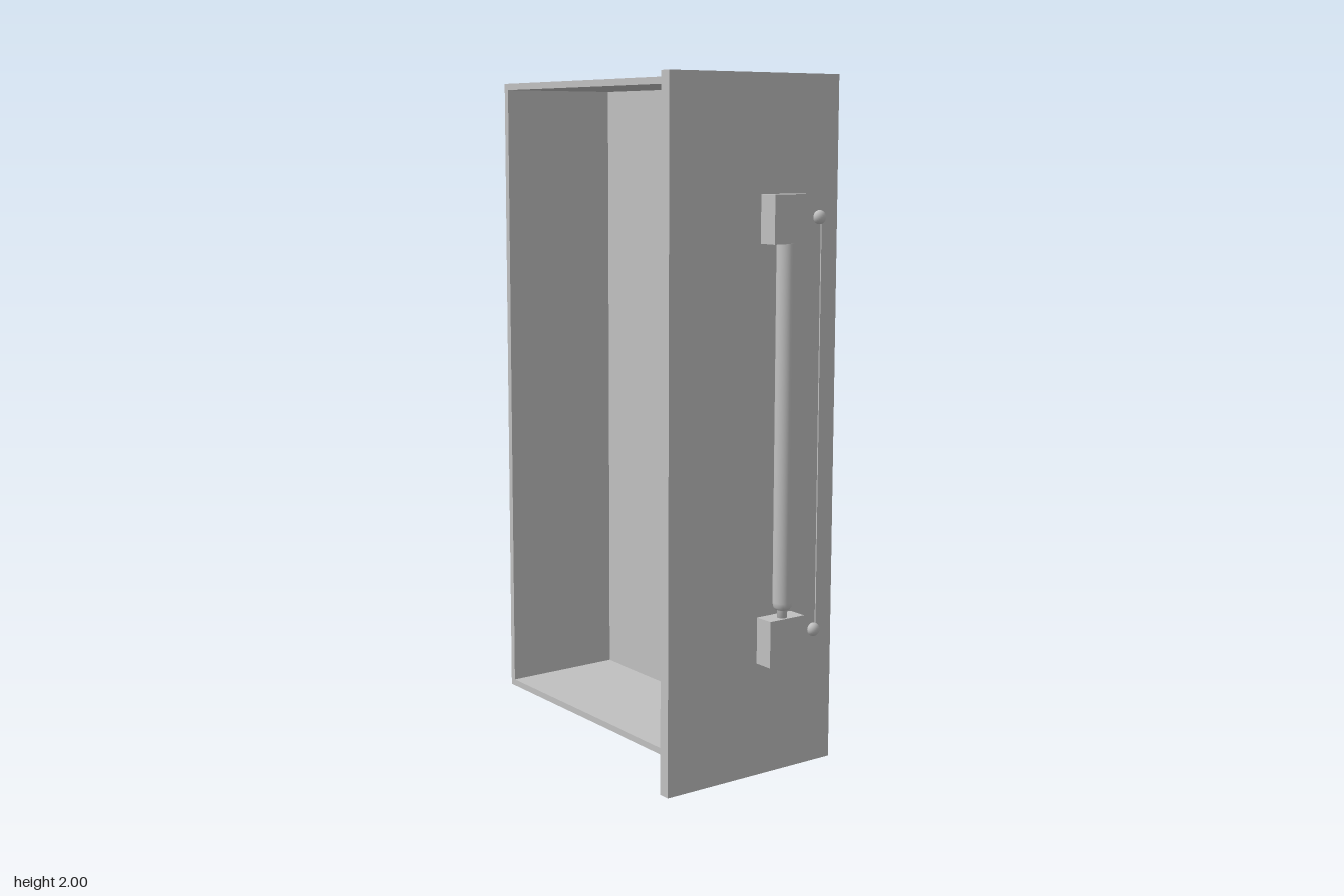
import * as THREE from 'three';

export function createModel() {
  const group = new THREE.Group();
  const grey = new THREE.MeshStandardMaterial({ color: 0xc0c0c0 });
  grey.name = 'plain grey';

  const add = (name, geometry, x, y, z) => {
    const mesh = new THREE.Mesh(geometry, grey);
    mesh.name = name;
    mesh.position.set(x, y, z);
    group.add(mesh);
    return mesh;
  };
  // Box given by its extents along each axis
  const box = (name, x0, x1, y0, y1, z0, z1) =>
    add(name, new THREE.BoxGeometry(x1 - x0, y1 - y0, z1 - z0),
      (x0 + x1) / 2, (y0 + y1) / 2, (z0 + z1) / 2);

  // Open drawer tray: rim walls cut as one frame, plus the base
  const X0 = -0.597, X1 = 0.495, Y0 = 0.008, Y1 = 1.993, Z0 = -0.288, Z1 = 0.117, T = 0.02;
  const rect = (path, x0, x1, y0, y1) =>
    path.moveTo(x0, y0).lineTo(x1, y0).lineTo(x1, y1).lineTo(x0, y1).closePath();
  const frame = new THREE.Shape();
  rect(frame, X0, X1, Y0, Y1);
  const opening = new THREE.Path();
  rect(opening, X0 + T, X1 - T, Y0 + T, Y1 - T);
  frame.holes.push(opening);
  add('drawerWalls', new THREE.ExtrudeGeometry(frame, { depth: Z1 - Z0, bevelEnabled: false }), 0, 0, Z0);
  box('drawerBase', X0 + T, X1 - T, Y0 + T, Y1 - T, Z0, Z0 + T);

  // Face panel
  box('facePanel', 0.495, 0.53, 0, 2, -0.297, 0.297);

  // Handle: end blocks and a rounded bar with a narrow neck
  for (const y of [0.402, 1.602]) {
    box('handleBlock', 0.53, 0.59, y - 0.068, y + 0.068, -0.143, -0.018);
    // Small round studs beside each block
    for (const z of [-0.136, -0.227]) {
      const stud = add('stud', new THREE.SphereGeometry(0.02, 20, 12), 0.535, y, z);
      stud.scale.x = 0.8;
    }
  }
  const barProfile = [
    [0, 0.46], [0.014, 0.46], [0.014, 0.492], [0.021, 0.495], [0.026, 0.502],
    [0.028, 0.515], [0.028, 1.535], [0, 1.535],
  ].map(([r, y]) => new THREE.Vector2(r, y));
  add('handleBar', new THREE.LatheGeometry(barProfile, 32), 0.569, 0, -0.078);

  // Slim strip along the studs
  box('backingStrip', 0.53, 0.534, 0.4, 1.6, -0.268, -0.236);

  return group;
}
